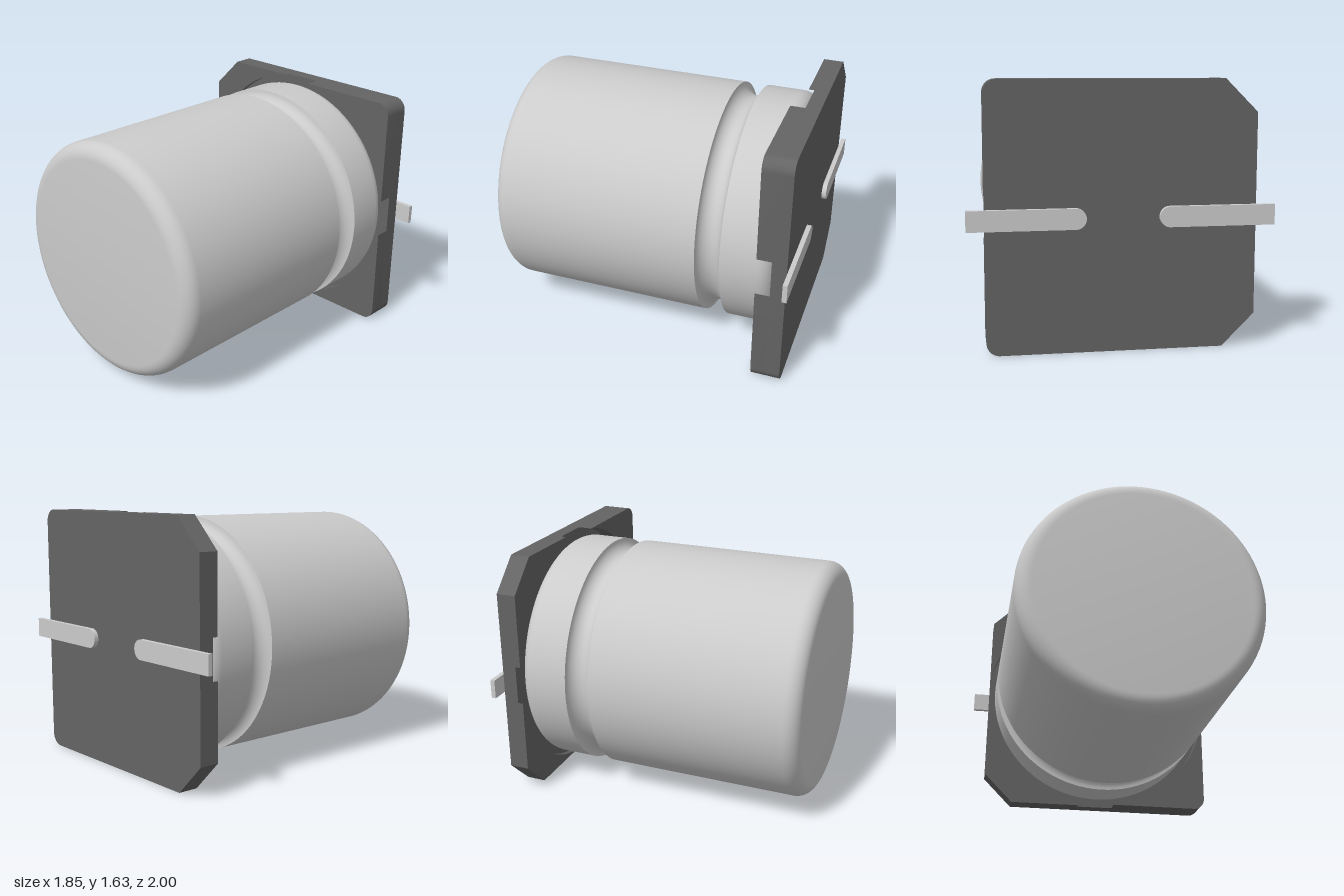
import * as THREE from 'three';
import { toCreasedNormals } from 'three/addons/utils/BufferGeometryUtils.js';

const CY = 0.815;       // height of the can's axis, also half the base width
const H = 0.815;
const BACK = -0.97, FLOOR = -0.875;

const metal = new THREE.MeshStandardMaterial({ color: 0xcccccc });
const plastic = new THREE.MeshStandardMaterial({ color: 0x646464 });

function addMesh(group, name, geometry, material) {
  const mesh = new THREE.Mesh(toCreasedNormals(geometry, 0.6), material);
  mesh.name = name;
  group.add(mesh);
  return mesh;
}

// Extrude a shape between two z positions
function slab(shape, z0, z1) {
  const g = new THREE.ExtrudeGeometry(shape, { depth: z1 - z0, bevelEnabled: false, curveSegments: 24 });
  return g.translate(0, 0, z0);
}

// Can: rounded ends and a rolled groove, turned around z
function canGeometry() {
  const r = 0.78, f = 0.1, groove = 0.08, gz = -0.46, pts = [];
  const arc = (cx, cz, rad, a0, a1, n) => {
    for (let i = 0; i <= n; i++) {
      const a = a0 + (a1 - a0) * i / n;
      pts.push(new THREE.Vector2(cx + rad * Math.cos(a), cz + rad * Math.sin(a)));
    }
  };
  pts.push(new THREE.Vector2(0, FLOOR));
  arc(r - f, FLOOR + f, f, -Math.PI / 2, 0, 8);
  arc(r, gz, groove, Math.PI * 1.5, Math.PI / 2, 14);
  arc(r - f, 1 - f, f, 0, Math.PI / 2, 8);
  pts.push(new THREE.Vector2(0, 1));
  return new THREE.LatheGeometry(pts, 96).rotateX(Math.PI / 2);
}

// Base outline: chamfered corners on -x, rounded corners on +x
function baseOutline() {
  const c = 0.2, f = 0.08, s = new THREE.Shape();
  s.moveTo(-H + c, -H);
  s.lineTo(H - f, -H);
  s.absarc(H - f, -H + f, f, -Math.PI / 2, 0, false);
  s.lineTo(H, H - f);
  s.absarc(H - f, H - f, f, 0, Math.PI / 2, false);
  s.lineTo(-H + c, H);
  s.lineTo(-H, H - c);
  s.lineTo(-H, -H + c);
  s.closePath();
  return s;
}

// Raised corner left outside the round seat of the can
function cornerShape(sx, sy) {
  const R = 0.825, n = Math.acos(H / R), s = new THREE.Shape();
  const e = R * Math.sin(n), c = 0.2, f = 0.08;
  const pts = [[H, e]];
  if (sx < 0) pts.push([H, H - c], [H - c, H]);
  else for (let i = 0; i <= 8; i++) {
    const a = Math.PI / 2 * i / 8;
    pts.push([H - f + f * Math.cos(a), H - f + f * Math.sin(a)]);
  }
  for (let i = 0; i <= 24; i++) {
    const a = Math.PI / 2 - n + (2 * n - Math.PI / 2) * i / 24;
    if (i < 24) pts.push([R * Math.cos(a), R * Math.sin(a)]);
  }
  s.setFromPoints(pts.map(([x, y]) => new THREE.Vector2(x * sx, y * sy)));
  return s;
}

// Flat lead with a rounded inner end
function leadShape(side) {
  const w = 0.0625, inner = 0.22 + w, s = new THREE.Shape();
  s.moveTo(0.925, w);
  s.lineTo(inner, w);
  s.absarc(inner, 0, w, Math.PI / 2, Math.PI * 1.5, false);
  s.lineTo(0.925, -w);
  s.closePath();
  if (side > 0) return s;
  return new THREE.Shape(s.getPoints(24).map(p => new THREE.Vector2(-p.x, p.y)));
}

export function createModel() {
  const model = new THREE.Group();
  model.name = 'canCapacitor';

  addMesh(model, 'can', canGeometry(), metal);

  const base = new THREE.Group();
  base.name = 'base';
  model.add(base);
  addMesh(base, 'basePlate', slab(baseOutline(), BACK, FLOOR), plastic);

  for (const sx of [1, -1]) {
    const side = sx > 0 ? 'left' : 'right';
    // The rounded side stands taller than the chamfered side
    for (const sy of [1, -1]) {
      addMesh(base, `${side}${sy > 0 ? 'Upper' : 'Lower'}Corner`,
        slab(cornerShape(sx, sy), FLOOR, sx > 0 ? -0.78 : -0.84), plastic);
    }
    addMesh(model, `${side}Lead`, slab(leadShape(sx), -1, BACK), metal);
  }

  for (const part of model.children) part.position.y = CY;
  return model;
}
